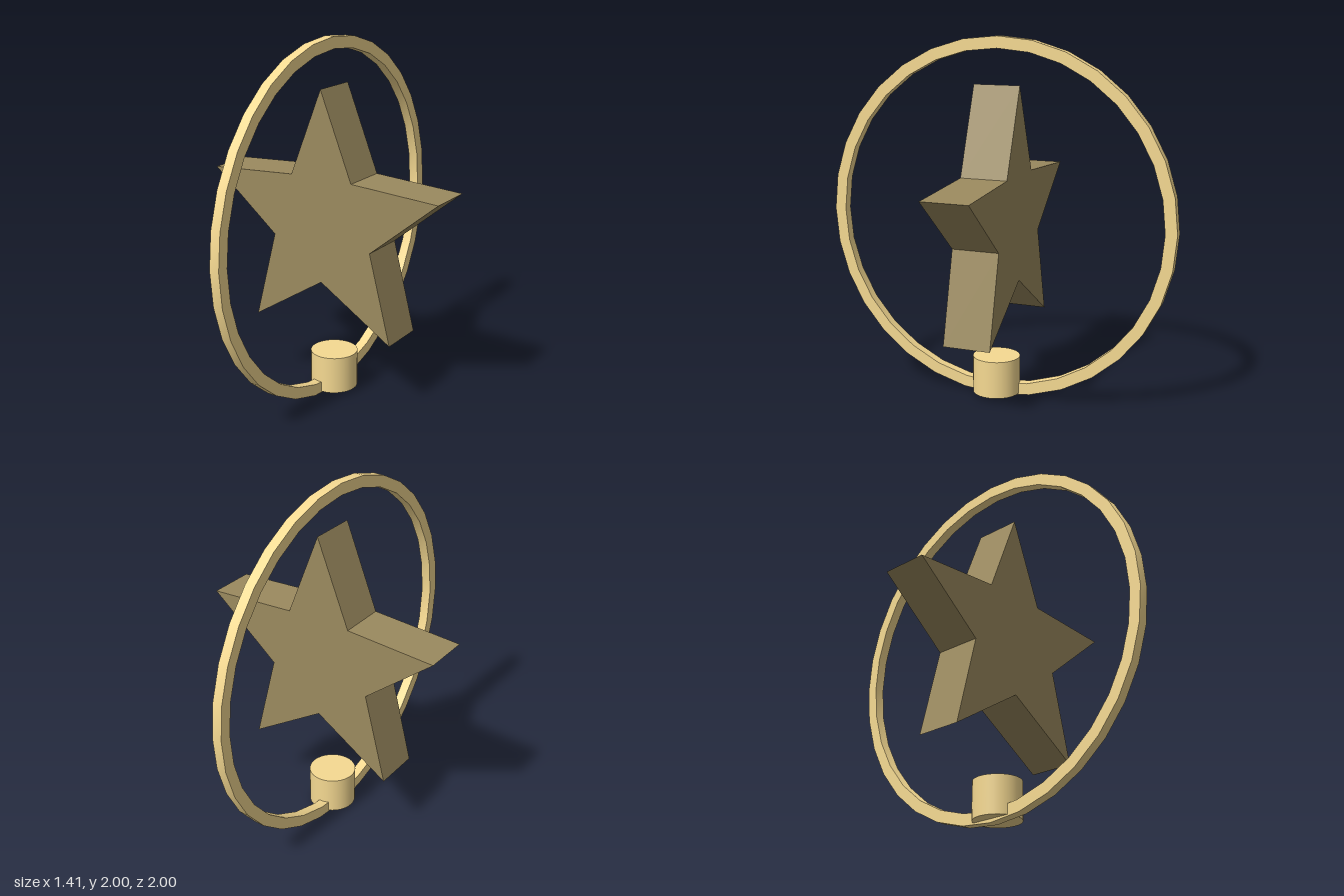
import * as THREE from 'three';
import { toCreasedNormals } from 'three/addons/utils/BufferGeometryUtils.js';

export function createModel() {
  const group = new THREE.Group();
  const brass = new THREE.MeshStandardMaterial({ color: 0xf6da92 });
  const darkBrass = new THREE.MeshStandardMaterial({ color: 0x9b8a5f });
  const add = (name, geometry, material, y) => {
    const mesh = new THREE.Mesh(geometry, material);
    mesh.name = name;
    mesh.position.y = y;
    group.add(mesh);
  };

  // Upright hoop: rectangular section swept around the x axis
  const section = [[0.935, 0], [1, 0], [1, 0.056], [0.935, 0.056], [0.935, 0]]
    .map(([r, h]) => new THREE.Vector2(r, h));
  const hoop = new THREE.LatheGeometry(section, 32).rotateZ(Math.PI / 2);
  add('hoop', toCreasedNormals(hoop, 0.6), brass, 1);

  // Five-pointed star, extruded through the hoop's centre
  const points = [];
  for (let i = 0; i < 10; i++) {
    const r = i % 2 ? 0.323 : 0.742;
    const a = Math.PI / 2 + (i * Math.PI) / 5;
    points.push(new THREE.Vector2(r * Math.cos(a), r * Math.sin(a)));
  }
  const star = new THREE.ExtrudeGeometry(new THREE.Shape(points), { depth: 0.264, bevelEnabled: false });
  add('star', star.translate(0, 0, -0.132), darkBrass, 1);

  // Small round base at the foot of the hoop
  add('base', new THREE.CylinderGeometry(0.132, 0.132, 0.21, 32), brass, 0.125);

  return group;
}
